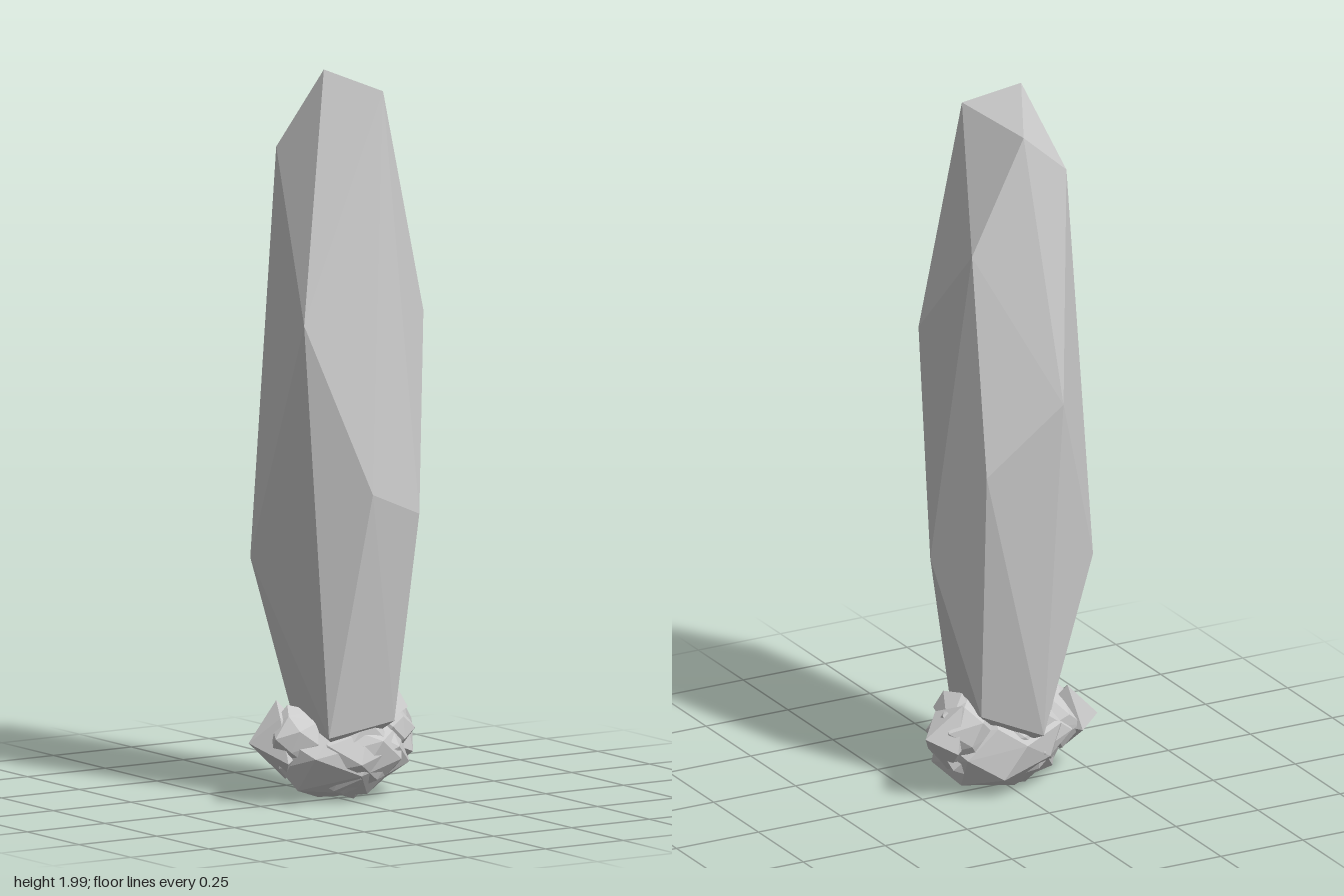
import * as THREE from 'three';
import { ConvexGeometry } from 'three/addons/geometries/ConvexGeometry.js';

const material = new THREE.MeshStandardMaterial({ color: 0xcccccc, flatShading: true });

function addPart(group, name, geometry) {
  const mesh = new THREE.Mesh(geometry, material);
  mesh.name = name;
  group.add(mesh);
  return mesh;
}

const hull = (points) => new ConvexGeometry(points.map((p) => new THREE.Vector3(...p)));

// Small seeded generator, 0..1
function seeded(seed) {
  let s = seed;
  return () => {
    s = (s * 16807) % 2147483647;
    return s / 2147483647;
  };
}

// Faceted rock: sphere directions pushed in and out, then stretched to the given radii
function rockGeometry(seed, rx, ry, rz) {
  const rand = seeded(seed);
  const points = [];
  const count = 24;
  for (let i = 0; i < count; i++) {
    const y = 1 - (2 * (i + 0.5)) / count;
    const r = Math.sqrt(1 - y * y);
    const a = i * 2.4 + seed + rand() * 0.5;
    const k = 0.87 + rand() * 0.17;
    points.push([Math.cos(a) * r * rx * k, y * ry * k, Math.sin(a) * r * rz * k]);
  }
  return hull(points);
}

export function createModel() {
  const model = new THREE.Group();
  model.name = 'crystalOnRock';

  // Tall faceted crystal, corners listed from tip to foot
  addPart(model, 'crystal', hull([
    [-0.07, 2.0, 0.035], [0.065, 1.94, 0.118], [0.015, 1.915, -0.135],
    [-0.14, 1.78, -0.09], [0.17, 1.6, -0.13],
    [-0.2, 1.33, 0.135], [0.21, 1.33, 0.095], [-0.053, 1.17, -0.233],
    [0.155, 0.98, -0.185], [-0.042, 0.87, 0.23], [0.127, 0.8, 0.2],
    [0.226, 0.7, 0.0], [-0.21, 0.67, -0.11],
    [-0.11, 0.2, 0.12], [0.1, 0.23, 0.12], [0.125, 0.26, -0.1],
    [-0.03, 0.2, -0.165], [-0.12, 0.24, -0.04], [0, 0.12, 0],
  ]));

  // Craggy foot: overlapping rocks
  const base = new THREE.Group();
  base.name = 'rockBase';
  model.add(base);
  const rocks = [
    [11, 0.225, 0.14, 0.135, 0, 0.15, 0],
    [37, 0.22, 0.135, 0.14, 0.01, 0.15, -0.005],
    [71, 0.17, 0.15, 0.13, 0, 0.158, 0],
    [53, 0.1, 0.1, 0.1, 0.13, 0.195, -0.01],
    [29, 0.1, 0.095, 0.1, -0.13, 0.185, 0],
  ];
  for (const [seed, rx, ry, rz, x, y, z] of rocks) {
    addPart(base, 'rock', rockGeometry(seed, rx, ry, rz)).position.set(x, y, z);
  }

  // Pointed shards at both sides and a small one standing against the crystal
  for (const side of [-1, 1]) {
    addPart(base, 'sideShard', hull([
      [side * 0.262, 0.19 + side * 0.01, -0.04], [side * 0.16, 0.285, -0.06],
      [side * 0.2, 0.25, 0.02], [side * 0.2, 0.13, 0.06],
      [side * 0.17, 0.08, 0.0], [side * 0.19, 0.16, -0.09], [side * 0.08, 0.18, 0],
    ]));
  }
  addPart(base, 'upperShard', hull([
    [0.14, 0.305, -0.02], [0.17, 0.3, 0.03], [0.19, 0.25, 0.05],
    [0.1, 0.22, 0.08], [0.1, 0.2, -0.08], [0.2, 0.22, -0.05],
  ]));
  return model;
}
